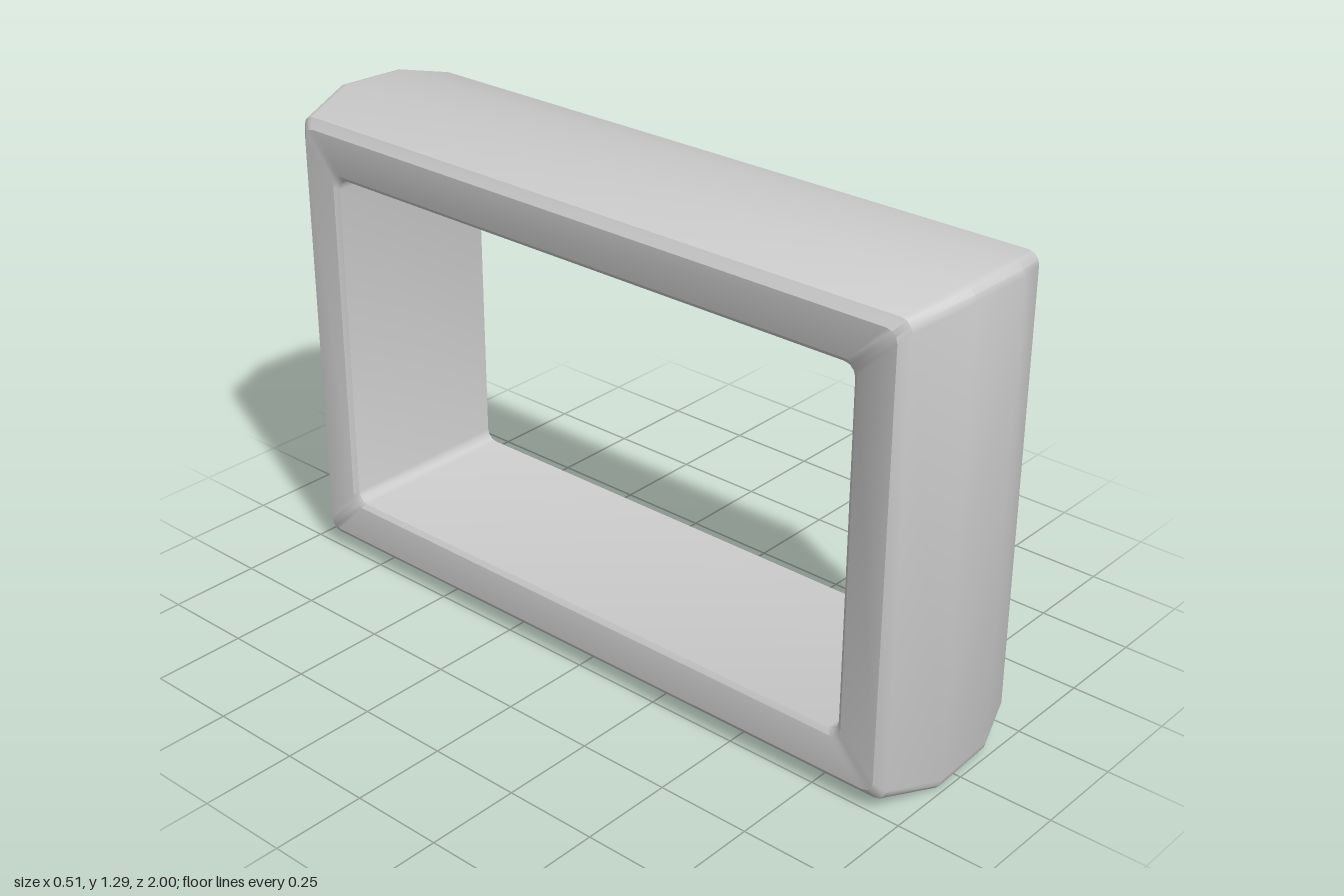
import * as THREE from 'three';
import { toCreasedNormals } from 'three/addons/utils/BufferGeometryUtils.js';

const HALF_Z = 1, HALF_Y = 0.645, CORNER_STEPS = 3;

// Cross-section of the band: x, inset along z, inset along y, corner radius
const section = [
  [0.255, 0.07, 0.06, 0.03],
  [0.24, 0.05, 0.036, 0.03],
  [0.11, 0.005, 0.005, 0.035],
  [-0.08, 0, 0, 0.035],
  [-0.24, 0.048, 0.036, 0.03],
  [-0.26, 0.07, 0.06, 0.03],
  [-0.26, 0.168, 0.163, 0.03],
  [-0.25, 0.18, 0.175, 0.03],
  [0.245, 0.18, 0.175, 0.03],
  [0.255, 0.168, 0.163, 0.03],
];

// Sweep the section around a rounded rectangle in the z-y plane
function bandGeometry() {
  const positions = [], indices = [];
  const corners = [[1, 1], [-1, 1], [-1, -1], [1, -1]];
  corners.forEach(([sz, sy], c) => {
    for (let k = 0; k <= CORNER_STEPS; k++) {
      const a = (c + k / CORNER_STEPS) * Math.PI / 2;
      for (const [x, dz, dy, r] of section) {
        positions.push(
          x,
          HALF_Y + sy * (HALF_Y - dy - r) + r * Math.sin(a),
          sz * (HALF_Z - dz - r) + r * Math.cos(a)
        );
      }
    }
  });
  const m = section.length, n = 4 * (CORNER_STEPS + 1);
  for (let i = 0; i < n; i++) {
    for (let j = 0; j < m; j++) {
      const i2 = (i + 1) % n, j2 = (j + 1) % m;
      const a = i * m + j, b = i2 * m + j, c = i2 * m + j2, d = i * m + j2;
      indices.push(a, b, c, a, c, d);
    }
  }
  const geometry = new THREE.BufferGeometry();
  geometry.setAttribute('position', new THREE.Float32BufferAttribute(positions, 3));
  geometry.setIndex(indices);
  return toCreasedNormals(geometry, 0.6);
}

export function createModel() {
  const group = new THREE.Group();
  group.name = 'rectangularRing';
  const band = new THREE.Mesh(bandGeometry(), new THREE.MeshStandardMaterial({ color: 0xcccccc }));
  band.name = 'band';
  group.add(band);
  return group;
}
